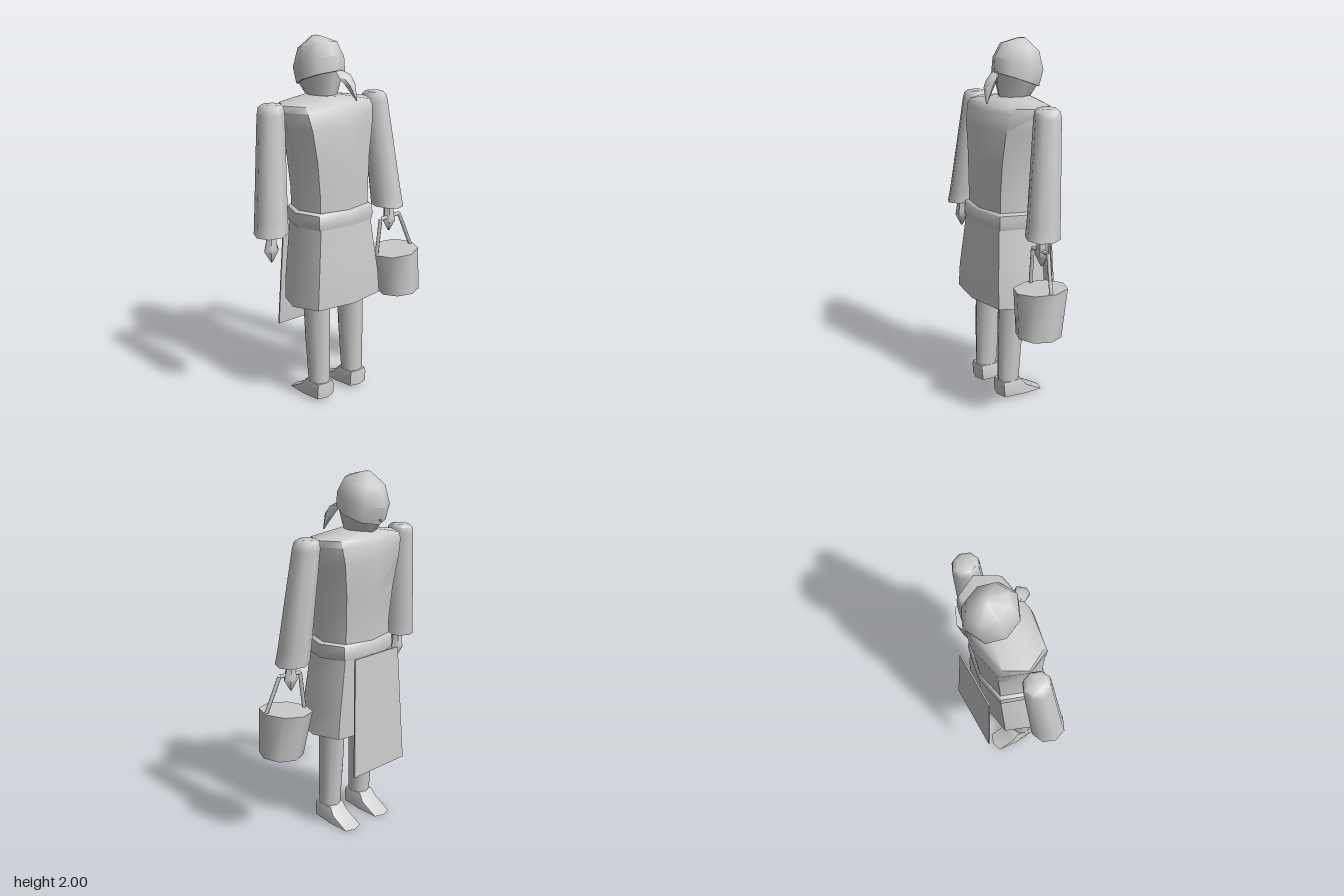
import * as THREE from 'three';
import { toCreasedNormals } from 'three/addons/utils/BufferGeometryUtils.js';

const CX = -0.042; // the body's own centre line, shifted by the bucket
const grey = new THREE.MeshStandardMaterial({ color: 0xcccccc });
grey.name = 'plain grey';

// Loft through rings listed bottom to top: [cx, cy, cz, rx, rz, slopeX, slopeZ].
// corner > 1 pushes the diagonal points out for a squarer section.
function loft(rings, { sides = 8, corner = 1, crease = 0.95 } = {}) {
  const pos = [];
  const idx = [];
  for (const [cx, cy, cz, rx, rz, sx = 0, sz = 0] of rings) {
    for (let j = 0; j < sides; j++) {
      const a = (j / sides) * Math.PI * 2;
      const k = 1 + (corner - 1) * Math.abs(Math.sin(2 * a));
      const dx = rx * k * Math.cos(a);
      const dz = rz * k * Math.sin(a);
      pos.push(cx + dx, cy + sx * dx + sz * dz, cz + dz);
    }
  }
  const last = rings.length - 1;
  for (let i = 0; i < last; i++) {
    for (let j = 0; j < sides; j++) {
      const a = i * sides + j, b = i * sides + (j + 1) % sides;
      const c = a + sides, d = b + sides;
      idx.push(a, c, b, b, c, d);
    }
  }
  // end caps
  const bottom = pos.length / 3;
  pos.push(...rings[0].slice(0, 3), ...rings[last].slice(0, 3));
  for (let j = 0; j < sides; j++) {
    const n = (j + 1) % sides;
    idx.push(bottom, j, n, bottom + 1, last * sides + n, last * sides + j);
  }
  const g = new THREE.BufferGeometry();
  g.setAttribute('position', new THREE.Float32BufferAttribute(pos, 3));
  g.setIndex(idx);
  return toCreasedNormals(g, crease);
}

export function createModel() {
  const model = new THREE.Group();
  model.name = 'bucketCarrier';
  const add = (name, geometry) => {
    const mesh = new THREE.Mesh(geometry, grey);
    mesh.name = name;
    model.add(mesh);
    return mesh;
  };

  // Torso, belt and skirt
  add('torso', loft([
    [CX, 1.05, 0.012, 0.213, 0.163],
    [CX, 1.2, 0.01, 0.213, 0.165],
    [CX, 1.38, 0, 0.228, 0.172],
    [CX, 1.55, -0.012, 0.262, 0.178],
    [CX, 1.635, -0.018, 0.283, 0.164],
    [CX, 1.668, -0.022, 0.28, 0.145],
    [CX, 1.7, -0.035, 0.08, 0.1],
  ], { corner: 1.1 }));
  add('belt', loft([
    [CX, 1.02, 0.015, 0.228, 0.174],
    [CX, 1.045, 0.015, 0.236, 0.178],
    [CX, 1.1, 0.015, 0.234, 0.174],
    [CX, 1.11, 0.015, 0.214, 0.165],
  ], { corner: 1.12 }));
  add('skirt', loft([
    [CX, 0.582, 0.036, 0.277, 0.187, 0, 0.04],
    [CX, 0.72, 0.032, 0.265, 0.187],
    [CX, 0.9, 0.023, 0.238, 0.178],
    [CX, 1.03, 0.017, 0.219, 0.172],
  ], { corner: 1.12 }));

  // Apron: a thin plate, narrower at the top and leaning out at the hem
  const apron = new THREE.BoxGeometry(0.34, 0.665, 0.009);
  const p = apron.attributes.position;
  for (let i = 0; i < p.count; i++) {
    const low = p.getY(i) < 0;
    p.setX(i, p.getX(i) * (low ? 1.16 : 0.98));
    p.setZ(i, p.getZ(i) - (low ? 0.21 : 0.183));
  }
  apron.translate(CX, 0.708, 0);
  apron.computeVertexNormals();
  add('apron', apron);

  // Head: face, cap, nose and the tied cloth tail
  add('face', loft([
    [CX, 1.68, -0.05, 0.068, 0.085],
    [CX, 1.715, -0.055, 0.085, 0.1, 0, 0.1],
    [CX, 1.79, -0.06, 0.118, 0.122, 0, 0.36],
  ]));
  add('cap', loft([
    [CX, 1.783, -0.06, 0.127, 0.132, 0, 0.36],
    [CX, 1.865, -0.078, 0.13, 0.143, 0, 0.3],
    [CX, 1.952, -0.088, 0.098, 0.11, 0, 0.24],
    [CX, 2, -0.1, 0.02, 0.02],
  ]));
  const nose = add('nose', new THREE.ConeGeometry(0.02, 0.045, 4));
  nose.rotation.x = -2.1;
  nose.position.set(CX, 1.763, -0.195);
  add('clothTail', loft([
    [0.022, 1.68, 0.157, 0.003, 0.003],
    [0.0, 1.77, 0.125, 0.034, 0.03, 0.1, -0.3],
    [-0.012, 1.805, 0.1, 0.042, 0.03, 0.1, -0.3],
    [-0.03, 1.832, 0.075, 0.025, 0.012],
  ], { sides: 6 }));

  // Arms, hands, legs and shoes on both sides
  for (const [side, s] of [['left', 1], ['right', -1]]) {
    const x = (d) => CX + s * d;
    add(side + 'Sleeve', loft([
      [x(0.411), 1.028, 0.037, 0.09, 0.095, -s * 0.08, 0],
      [x(0.404), 1.1, 0.028, 0.086, 0.091],
      [x(0.356), 1.63, -0.022, 0.07, 0.075],
      [x(0.352), 1.668, -0.024, 0.064, 0.07],
      [x(0.348), 1.684, -0.022, 0.048, 0.052],
    ]));
    add(side + 'Hand', loft([
      [x(0.418), 0.876, 0.045, 0.005, 0.005],
      [x(0.418), 0.94, 0.045, 0.045, 0.034],
      [x(0.418), 0.975, 0.045, 0.034, 0.029],
      [x(0.412), 1.06, 0.04, 0.026, 0.026],
    ], { sides: 6 }));
    add(side + 'Leg', loft([
      [x(0.121), 0.07, 0.066, 0.058, 0.062],
      [x(0.121), 0.35, 0.053, 0.066, 0.073],
      [x(0.121), 0.7, 0.038, 0.073, 0.08],
    ]));
    add(side + 'Shoe', loft([
      [x(0.121), 0.01, -0.003, 0.066, 0.142, 0, 0.07],
      [x(0.121), 0.07, 0.05, 0.066, 0.086, 0, 0.16],
      [x(0.121), 0.104, 0.065, 0.058, 0.066, 0, 0.02],
    ], { corner: 1.22 }));
  }

  // Bucket, hanging slightly askew
  add('bucket', loft([
    [0.417, 0.512, 0.091, 0.121, 0.122, 0.04, 0.05],
    [0.397, 0.765, 0.067, 0.143, 0.145, 0.09, 0],
  ]));

  // Handle: straight round bars from rim to grip
  const path = [
    [0.28, 0.75, 0.05], [0.303, 0.958, 0.053], [0.445, 0.968, 0.055], [0.518, 0.768, 0.085],
  ].map((v) => new THREE.Vector3(...v));
  for (let i = 0; i < 3; i++) {
    const line = new THREE.LineCurve3(path[i], path[i + 1]);
    add('bucketHandle', new THREE.TubeGeometry(line, 1, 0.011, 6));
  }
  return model;
}
